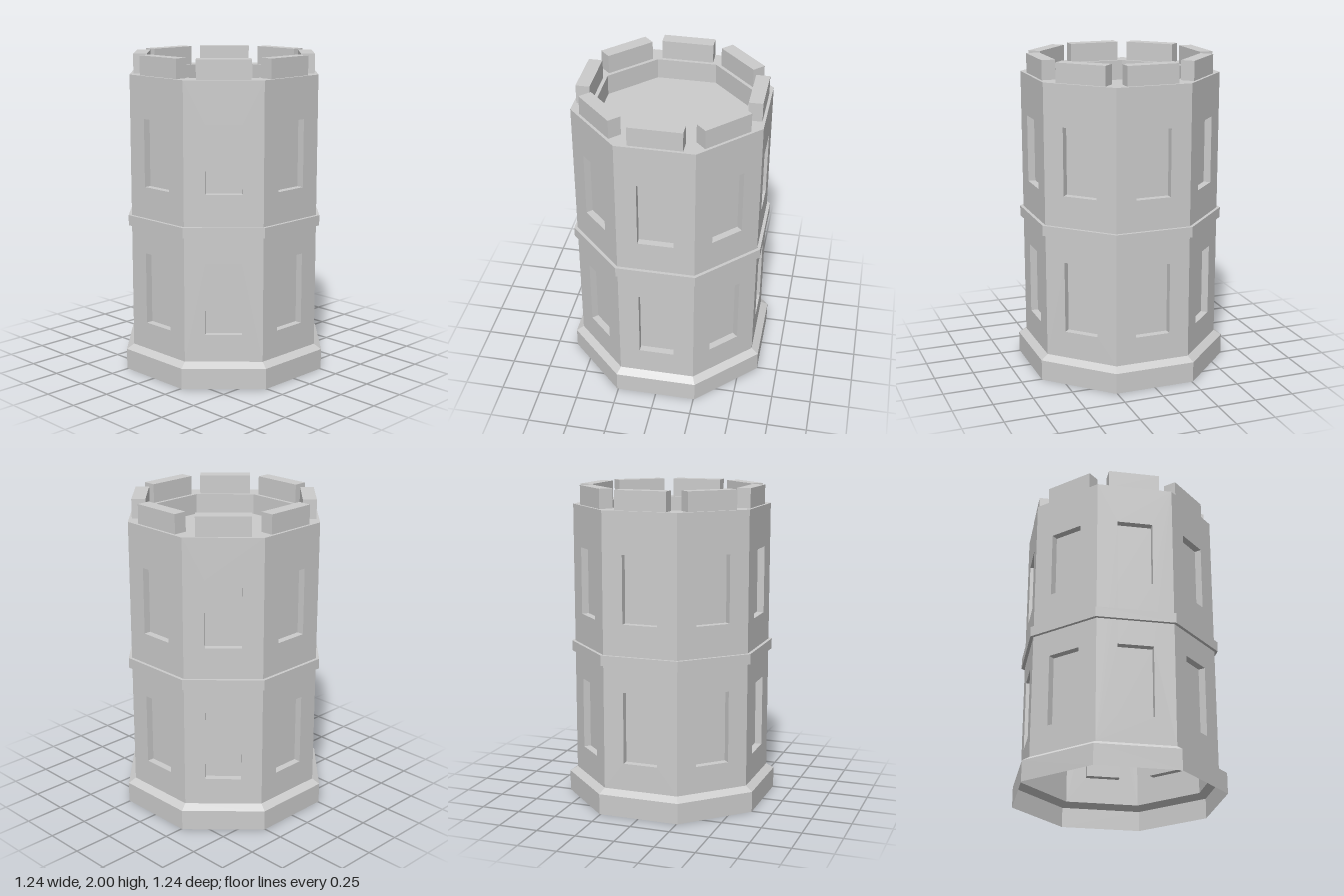
import * as THREE from 'three';

const SIDES = 8;
const WALL = 0.575; // distance from the axis to each flat wall
const BOTTOM = 0.16, TOP = 1.88, FLOOR = 1.75;
const WINDOWS = [[0.33, 0.78], [1.2, 1.62]];
const HALF_WINDOW = 0.11, RECESS = 0.045;

const stone = new THREE.MeshStandardMaterial({
  color: 0xcccccc, flatShading: true, side: THREE.DoubleSide,
});

function named(name, geometry) {
  const mesh = new THREE.Mesh(geometry, stone);
  mesh.name = name;
  return mesh;
}

// Octagonal ring from [distance to flat, height] pairs, flats facing the axes
function octagon(name, profile) {
  const k = 1 / Math.cos(Math.PI / SIDES);
  const points = profile.map(([a, y]) => new THREE.Vector2(a * k, y));
  return named(name, new THREE.LatheGeometry(points, SIDES, Math.PI / SIDES));
}

function rectangle(Type, w, y0, y1) {
  const p = new Type();
  p.moveTo(-w, y0);
  p.lineTo(w, y0);
  p.lineTo(w, y1);
  p.lineTo(-w, y1);
  p.closePath();
  return p;
}

function plane(name, w, h, x, y, z, rx = 0, ry = 0) {
  const mesh = named(name, new THREE.PlaneGeometry(w, h));
  mesh.position.set(x, y, z);
  mesh.rotation.set(rx, ry, 0);
  return mesh;
}

// Shallow blind window: back panel and four reveals
function windowRecess(y0, y1) {
  const g = new THREE.Group();
  g.name = 'windowRecess';
  const w = HALF_WINDOW * 2, h = y1 - y0, y = (y0 + y1) / 2, z = WALL - RECESS / 2;
  g.add(
    plane('windowPanel', w, h, 0, y, WALL - RECESS),
    plane('windowSill', w, RECESS, 0, y0, z, -Math.PI / 2),
    plane('windowHead', w, RECESS, 0, y1, z, Math.PI / 2),
    plane('windowJambRight', RECESS, h, -HALF_WINDOW, y, z, 0, Math.PI / 2),
    plane('windowJambLeft', RECESS, h, HALF_WINDOW, y, z, 0, -Math.PI / 2),
  );
  return g;
}

// One of eight identical sides: pierced wall, window recesses and merlon
function towerSide() {
  const g = new THREE.Group();
  g.name = 'towerSide';
  const shape = rectangle(THREE.Shape, WALL * Math.tan(Math.PI / SIDES), BOTTOM, TOP);
  for (const [y0, y1] of WINDOWS) {
    shape.holes.push(rectangle(THREE.Path, HALF_WINDOW, y0, y1));
    g.add(windowRecess(y0, y1));
  }
  const wall = named('wall', new THREE.ShapeGeometry(shape));
  wall.position.z = WALL;
  const merlon = named('merlon', new THREE.BoxGeometry(0.325, 2 - TOP, 0.085));
  merlon.position.set(0, (2 + TOP) / 2, 0.515);
  g.add(wall, merlon);
  return g;
}

export function createModel() {
  const tower = new THREE.Group();
  tower.name = 'tower';

  for (let i = 0; i < SIDES; i++) {
    const side = towerSide();
    side.rotation.y = (i * 2 * Math.PI) / SIDES;
    tower.add(side);
  }

  // Plinth is an open shell underneath
  tower.add(octagon('plinth', [[0.62, 0], [0.62, 0.13], [WALL, BOTTOM]]));
  tower.add(octagon('stringCourse', [[WALL, 0.94], [0.595, 0.94], [0.595, 1.005], [WALL, 1.005]]));
  // Parapet ledge, its inner face and the sunken roof floor
  tower.add(octagon('parapetAndRoof', [[WALL, TOP], [0.45, TOP], [0.45, FLOOR], [0, FLOOR]]));

  return tower;
}
